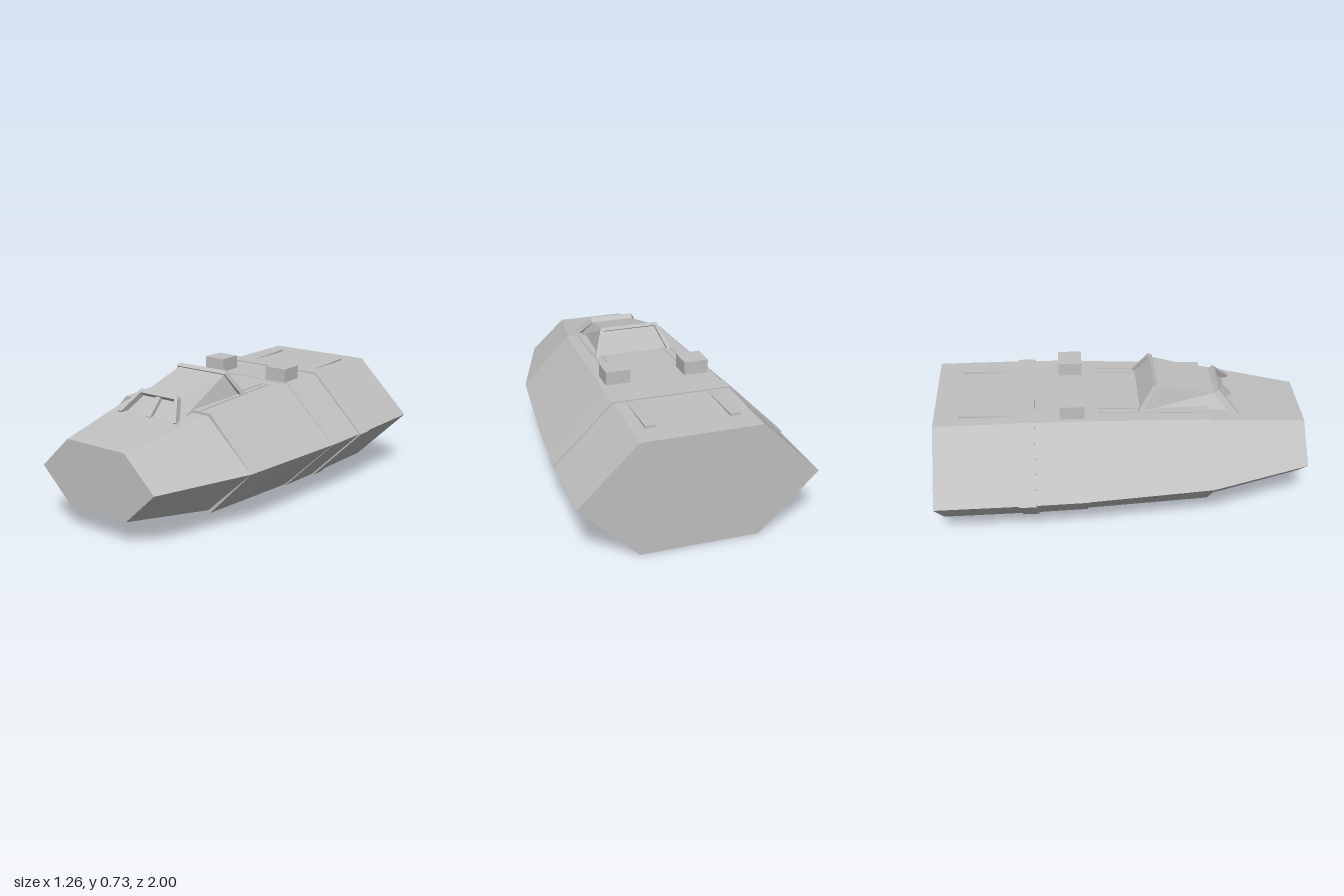
import * as THREE from 'three';

const grey = new THREE.MeshStandardMaterial({ color: 0xc0c0c0 });
grey.name = 'hull grey';

// Closed faceted solid through rings, listed front to back, each counter-clockwise seen from +z
function loft(name, rings) {
  const pos = [];
  const tri = (...pts) => pts.forEach((p) => pos.push(...p));
  const n = rings[0].length;
  for (let i = 0; i < rings.length - 1; i++) {
    for (let j = 0; j < n; j++) {
      const k = (j + 1) % n;
      const [a, b, c, d] = [rings[i][j], rings[i][k], rings[i + 1][k], rings[i + 1][j]];
      tri(a, d, c);
      tri(a, c, b);
    }
  }
  const last = rings[rings.length - 1];
  for (let j = 1; j < n - 1; j++) {
    tri(rings[0][0], rings[0][j], rings[0][j + 1]);
    tri(last[0], last[j + 1], last[j]);
  }
  const geo = new THREE.BufferGeometry();
  geo.setAttribute('position', new THREE.Float32BufferAttribute(pos, 3));
  geo.computeVertexNormals();
  const mesh = new THREE.Mesh(geo, grey);
  mesh.name = name;
  return mesh;
}

// Hexagonal hull section: widest at y = 0.315, flat top and bottom
const hex = (z, wide, flat, low, high) => [
  [-flat, low, z], [flat, low, z], [wide, 0.315, z],
  [flat, high, z], [-flat, high, z], [-wide, 0.315, z],
];

// Four-cornered section
const quad = (x0, x1, low, high, z) => [[x0, low, z], [x1, low, z], [x1, high, z], [x0, high, z]];

// Trapezoid section leaning between its bottom and top edges
const leaning = (wLow, yLow, zLow, wTop, yTop, zTop) => [
  [-wLow, yLow, zLow], [wLow, yLow, zLow], [wTop, yTop, zTop], [-wTop, yTop, zTop],
];

// Leaning window frame: two legs and a top rail, open at the bottom
function hoop(name, wLow, wTop, height, leg, rail, depth, tilt, y, z) {
  const inner = wTop + (wLow - wTop) * (rail / height) - leg;
  const shape = new THREE.Shape([
    [-wLow, 0], [-wLow + leg, 0], [-inner, height - rail], [inner, height - rail],
    [wLow - leg, 0], [wLow, 0], [wTop, height], [-wTop, height],
  ].map(([px, py]) => new THREE.Vector2(px, py)));
  const geo = new THREE.ExtrudeGeometry(shape, { depth, bevelEnabled: false });
  const mesh = new THREE.Mesh(geo, grey);
  mesh.name = name;
  mesh.rotation.x = tilt;
  mesh.position.set(0, y, z);
  return mesh;
}

export function createModel() {
  const model = new THREE.Group();
  model.name = 'shuttle';

  // Hull in three sections with small steps between them, plus the collar
  model.add(
    loft('noseHull', [hex(1, 0.38, 0.192, 0.14, 0.49), hex(0.465, 0.552, 0.278, 0.06, 0.572)]),
    loft('middleHull', [hex(0.47, 0.552, 0.29, 0.048, 0.585), hex(-0.21, 0.61, 0.302, 0.02, 0.613)]),
    loft('rearHull', [
      hex(-0.2, 0.612, 0.305, 0.014, 0.615),
      hex(-0.5, 0.62, 0.31, 0.01, 0.62),
      hex(-1, 0.623, 0.312, 0.008, 0.621),
    ]),
    loft('hullCollar', [hex(-0.47, 0.63, 0.315, 0.003, 0.627), hex(-0.56, 0.63, 0.315, 0.003, 0.627)]),
  );

  // Canopy with its window frames
  model.add(
    loft('canopy', [
      leaning(0.18, 0.53, 0.61, 0.118, 0.643, 0.51),
      leaning(0.2, 0.585, 0.085, 0.158, 0.718, 0.175),
    ]),
    hoop('windshieldFrame', 0.2, 0.125, 0.152, 0.022, 0.024, 0.036, -0.75, 0.53, 0.605),
    hoop('rearCanopyFrame', 0.225, 0.165, 0.168, 0.022, 0.018, 0.026, 0.588, 0.595, 0.076),
  );
  const mullion = new THREE.Mesh(new THREE.BoxGeometry(0.032, 0.13, 0.02), grey);
  mullion.name = 'windshieldMullion';
  mullion.rotation.x = -0.75;
  mullion.position.set(0, 0.593, 0.567);
  model.add(mullion);

  // Paired deck details
  for (const s of [-1, 1]) {
    const strip = (name, xa, xb, rings) => {
      const [x0, x1] = s > 0 ? [xa, xb] : [-xb, -xa];
      model.add(loft(name, rings.map(([z, low, high]) => quad(x0, x1, low, high, z))));
    };
    strip('deckBox', 0.15, 0.282, [[-0.205, 0.59, 0.69], [-0.335, 0.59, 0.69]]);
    strip('rearDeckRail', 0.19, 0.245, [[-0.55, 0.6, 0.621], [-0.87, 0.6, 0.634]]);
    strip('outerDeckRail', 0.216, 0.226, [[0.465, 0.56, 0.589], [-0.13, 0.59, 0.614]]);
    strip('innerDeckRail', 0.178, 0.186, [[0.09, 0.58, 0.605], [-0.13, 0.59, 0.614]]);
  }
  return model;
}
